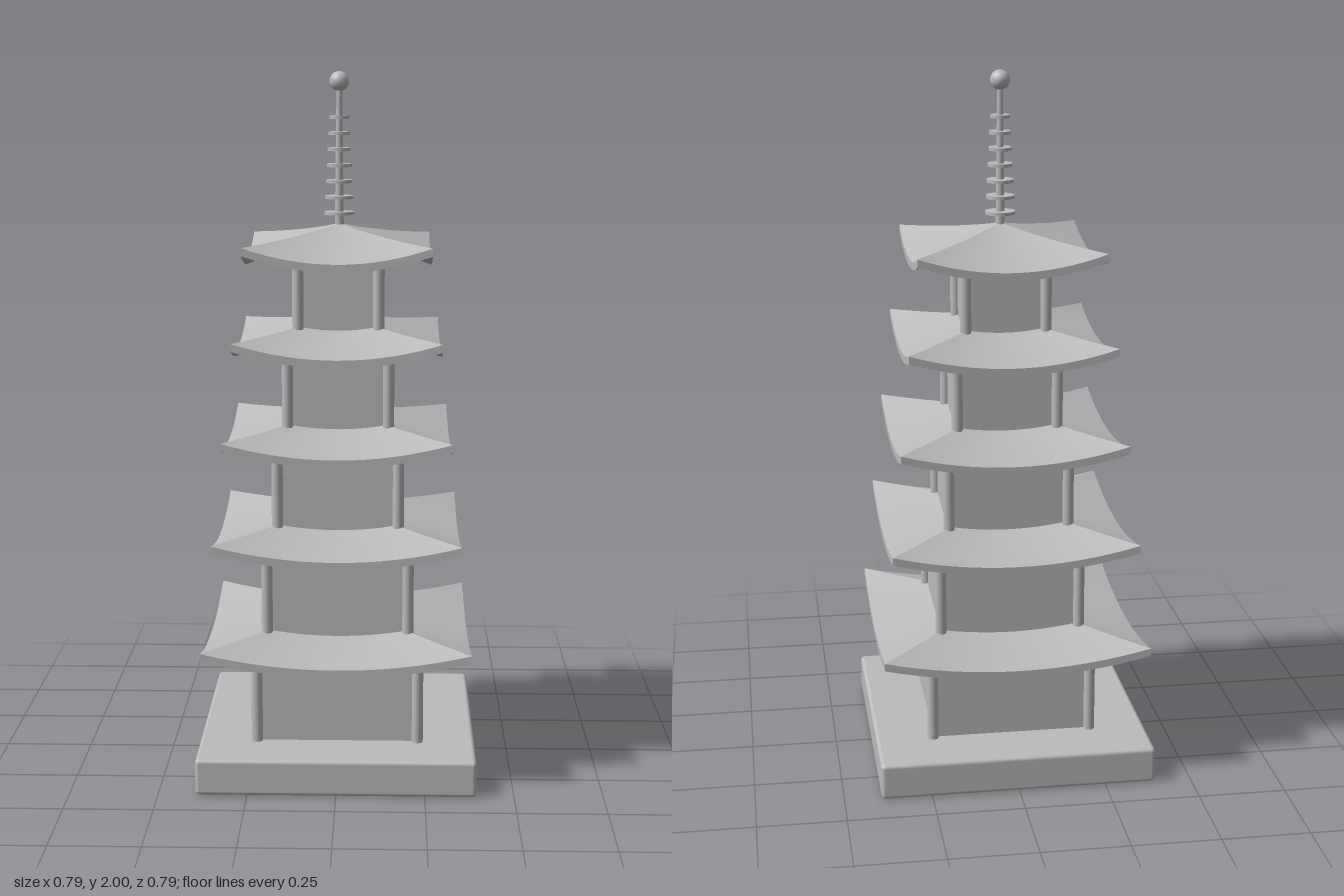
import * as THREE from 'three';
import { RoundedBoxGeometry } from 'three/addons/geometries/RoundedBoxGeometry.js';
import { ParametricGeometry } from 'three/addons/geometries/ParametricGeometry.js';

const stone = new THREE.MeshStandardMaterial({ color: 0xbbbbbb });
stone.name = 'stone grey';

const ROOF_RISE = 0.093, CORNER_LIFT = 0.045, ROOF_THICK = 0.022;

function add(parent, name, geometry, x = 0, y = 0, z = 0) {
  const mesh = new THREE.Mesh(geometry, stone);
  mesh.name = name;
  mesh.position.set(x, y, z);
  parent.add(mesh);
  return mesh;
}

// Hipped roof with eaves that sweep up to the corners; y = 0 is the middle of the eave's top edge
function makeRoof(half) {
  const roof = new THREE.Group();
  roof.name = 'roof';
  const surface = (s, t, drop, target) => target.set(
    s * half * t,
    ROOF_RISE * (1 - t) + CORNER_LIFT * Math.pow(t, 1.5) * s * s - drop,
    half * t
  );
  const slope = (v) => 0.02 + 0.98 * v;
  const top = new ParametricGeometry((u, v, p) => surface(1 - 2 * u, slope(v), 0, p), 16, 10);
  const under = new ParametricGeometry((u, v, p) => surface(2 * u - 1, slope(v), ROOF_THICK, p), 16, 10);
  const edge = new ParametricGeometry((u, v, p) => surface(2 * u - 1, 1, ROOF_THICK * (1 - v), p), 16, 1);
  for (let i = 0; i < 4; i++) {
    const side = new THREE.Group();
    side.name = 'roofSide';
    side.rotation.y = i * Math.PI / 2;
    add(side, 'roofTop', top);
    add(side, 'roofUnderside', under);
    add(side, 'eaveEdge', edge);
    roof.add(side);
  }
  return roof;
}

// Square storey: walls, corner posts and a beam under the eaves
function makeStorey(half, bottom, top) {
  const storey = new THREE.Group();
  storey.name = 'storey';
  const r = 0.016, c = half - r, h = top - bottom, mid = (top + bottom) / 2;
  const wall = (c - 0.004) * 2;
  add(storey, 'walls', new THREE.BoxGeometry(wall, h, wall), 0, mid, 0);
  add(storey, 'topBeam', new THREE.BoxGeometry(wall + 0.016, 0.045, wall + 0.016), 0, top - 0.0225, 0);
  const post = new THREE.CylinderGeometry(r, r, h, 16);
  for (const x of [-c, c]) for (const z of [-c, c]) add(storey, 'cornerPost', post, x, mid, z);
  return storey;
}

export function createModel() {
  const model = new THREE.Group();
  model.name = 'pagoda';

  // Plinth
  add(model, 'base', new RoundedBoxGeometry(0.79, 0.105, 0.79, 2, 0.012), 0, 0.0525, 0);

  // Five storeys, each with its roof
  const eaves = [0.364, 0.665, 0.948, 1.221, 1.481];
  let floor = 0.1;
  eaves.forEach((eave, i) => {
    model.add(makeStorey(0.246 - i * 0.029, floor, eave + 0.008));
    const roof = makeRoof(0.378 - i * 0.029);
    roof.position.y = eave;
    model.add(roof);
    floor = eave + 0.01;
  });

  // Spire with tapering rings and a ball on top
  const spire = new THREE.Group();
  spire.name = 'spire';
  model.add(spire);
  add(spire, 'pole', new THREE.CylinderGeometry(0.008, 0.013, 0.41, 16), 0, 1.755, 0);
  for (let i = 0; i < 7; i++) {
    const r = 0.043 - i * 0.0025;
    add(spire, 'ring', new THREE.CylinderGeometry(r, r, 0.009, 24), 0, 1.602 + i * 0.045, 0);
  }
  add(spire, 'finialBall', new THREE.SphereGeometry(0.028, 24, 16), 0, 1.972, 0);

  return model;
}
